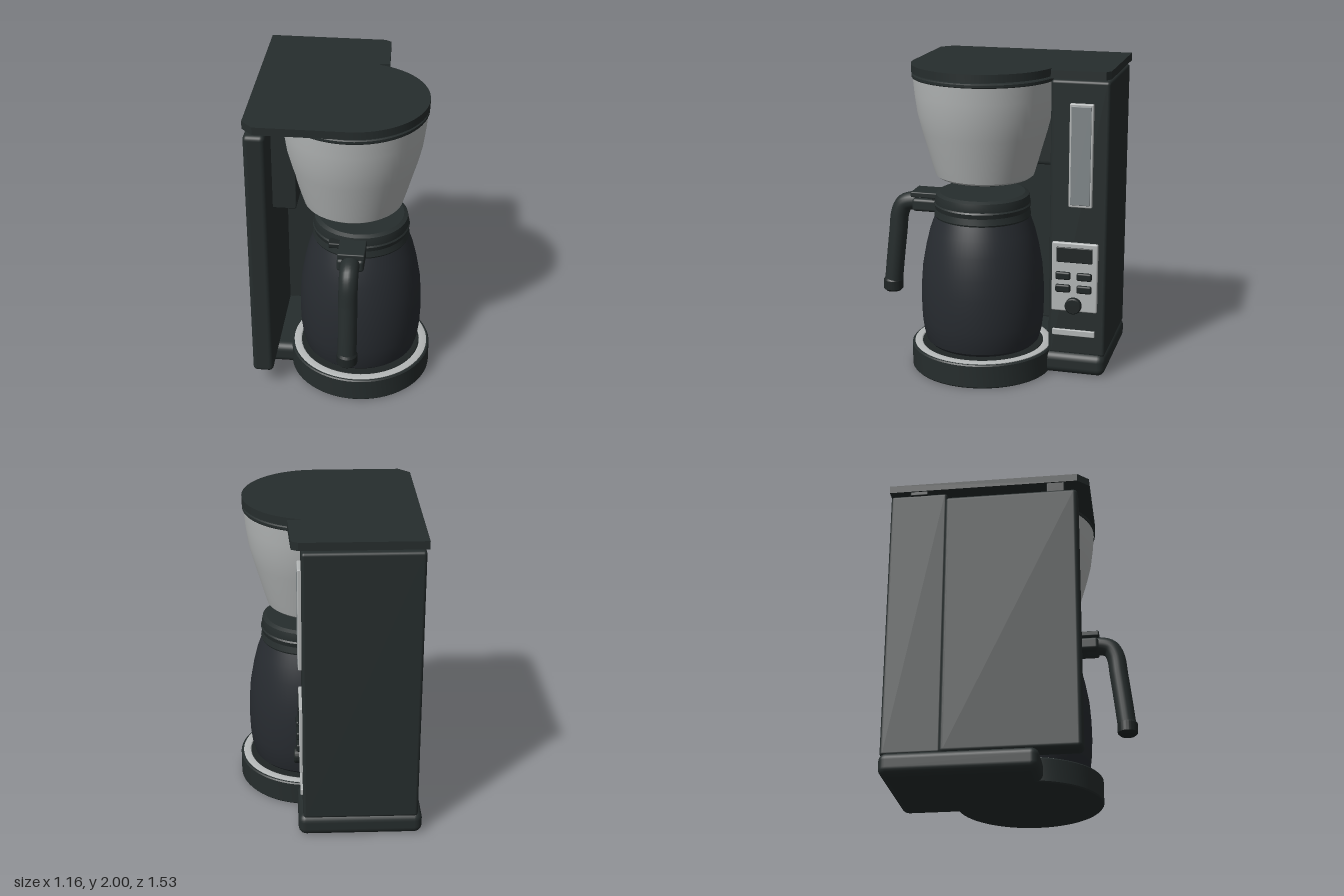
import * as THREE from 'three';
import { RoundedBoxGeometry } from 'three/addons/geometries/RoundedBoxGeometry.js';
import { toCreasedNormals } from 'three/addons/utils/BufferGeometryUtils.js';

const mat = (color, side = THREE.FrontSide) => new THREE.MeshStandardMaterial({ color, side });
const DARK = mat(0x262d2d);
const BLACK = mat(0x1f2525);
const GLASS = mat(0x272b30);
const SILVER = mat(0xb4b7b7);
const PANE = mat(0x808789);

export function createModel() {
  const root = new THREE.Group();
  root.name = 'coffeeMaker';

  function add(name, geometry, material, parent = root) {
    const mesh = new THREE.Mesh(geometry, material);
    mesh.name = name;
    parent.add(mesh);
    return mesh;
  }
  // Rounded block given by its limits on each axis
  function block(name, [x0, x1], [y0, y1], [z0, z1], r, material, parent) {
    const g = new RoundedBoxGeometry(x1 - x0, y1 - y0, z1 - z0, 3, r);
    g.translate((x0 + x1) / 2, (y0 + y1) / 2, (z0 + z1) / 2);
    return add(name, g, material, parent);
  }
  // Turned part about a vertical axis, profile as [radius, y]
  function turned(name, profile, x, z, material, parent) {
    const g = new THREE.LatheGeometry(profile.map(p => new THREE.Vector2(...p)), 64);
    g.translate(x, 0, z);
    return add(name, toCreasedNormals(g, 0.45), material, parent);
  }

  // Base: rear block, round warming stand and hot plate
  const CX = 0.11, CZ = 0.07;
  block('baseBlock', [-0.585, 0.2], [0, 0.145], [-0.762, 0.2], 0.05, DARK);
  turned('warmingStand', [[0, 0], [0.46, 0], [0.467, 0.008], [0.467, 0.15], [0.46, 0.158], [0, 0.158]], CX, CZ, DARK);
  turned('standRing', [[0.4, 0.15], [0.45, 0.15], [0.45, 0.162], [0.44, 0.166], [0.405, 0.166], [0.4, 0.162], [0.4, 0.15]], CX, CZ, SILVER);
  turned('hotPlate', [[0.4, 0.15], [0.395, 0.162], [0, 0.162]], CX, CZ, BLACK);

  // Rear water tower, side wall and funnel bracket
  block('waterTower', [-0.555, 0.17], [0.13, 1.93], [-0.757, -0.385], 0.02, DARK);
  block('sideWall', [-0.57, -0.435], [0.125, 1.895], [-0.4, 0.46], 0.03, DARK);
  const bracketShape = new THREE.Shape();
  bracketShape.moveTo(-0.45, 1.28);
  bracketShape.lineTo(-0.3, 1.28);
  bracketShape.quadraticCurveTo(-0.29, 1.28, -0.29, 1.3);
  bracketShape.lineTo(-0.29, 1.6);
  bracketShape.quadraticCurveTo(-0.29, 1.75, -0.335, 1.865);
  bracketShape.lineTo(-0.45, 1.865);
  const bracket = new THREE.ExtrudeGeometry(bracketShape, { depth: 0.62, bevelThickness: 0.01, bevelSize: 0.006, bevelSegments: 2 });
  bracket.translate(0, 0, -0.39);
  add('funnelBracket', bracket, DARK);

  // Flat lid with a round front right part, drawn as x and -z
  const FX = 0.06, FZ = 0.067;
  const lidShape = new THREE.Shape();
  lidShape.moveTo(-0.567, 0.765);
  lidShape.lineTo(-0.567, -0.46);
  lidShape.lineTo(-0.495, -0.532);
  lidShape.lineTo(FX, -0.532);
  lidShape.absarc(FX, -FZ, 0.465, -Math.PI / 2, Math.PI * 0.43, false);
  lidShape.lineTo(0.245, 0.4);
  lidShape.lineTo(0.228, 0.74);
  lidShape.lineTo(0.185, 0.765);
  const lid = new THREE.ExtrudeGeometry(lidShape, { depth: 0.05, bevelEnabled: false, curveSegments: 48 });
  lid.rotateX(-Math.PI / 2);
  lid.translate(0, 1.95, 0);
  add('topLid', lid, DARK);
  for (const [z, y] of [[-0.57, 1.92], [0.32, 1.88]]) {
    block('lidSupport', [-0.56, -0.5], [y, 1.955], [z - 0.06, z + 0.06], 0.01, BLACK);
  }

  // Filter funnel
  turned('filterFunnel', [[0, 1.272], [0.3, 1.272], [0.317, 1.285], [0.34, 1.36], [0.365, 1.45], [0.4, 1.57],
    [0.43, 1.69], [0.446, 1.81], [0.456, 1.92], [0, 1.92]], FX, FZ, SILVER);
  turned('funnelRim', [[0, 1.915], [0.46, 1.915], [0.463, 1.92], [0.463, 1.935], [0.455, 1.941], [0, 1.941]], FX, FZ, DARK);
  turned('funnelFloor', [[0, 1.268], [0.29, 1.268], [0.29, 1.275]], FX, FZ, BLACK);
  turned('dripValve', [[0, 1.235], [0.085, 1.235], [0.12, 1.255], [0.12, 1.275]], FX, FZ, BLACK);

  // Carafe
  const carafe = new THREE.Group();
  carafe.name = 'carafe';
  root.add(carafe);
  turned('carafeBody', [[0, 0.168], [0.35, 0.17], [0.37, 0.19], [0.387, 0.25], [0.398, 0.34], [0.402, 0.45], [0.4, 0.56],
    [0.39, 0.69], [0.365, 0.83], [0.34, 0.93], [0.308, 1.02], [0, 1.02]], CX, CZ, GLASS, carafe);
  turned('carafeCollar', [[0.28, 1.01], [0.305, 1.012], [0.313, 1.03], [0.305, 1.07], [0.313, 1.1], [0.305, 1.112], [0, 1.112]], CX, CZ, DARK, carafe);
  turned('carafeLid', [[0, 1.1], [0.305, 1.1], [0.308, 1.12], [0.3, 1.165], [0.275, 1.178], [0, 1.18]], CX, CZ, DARK, carafe);

  // Handle: straight arm, bent grip, end cap and thumb lever
  const HX = 0.083;
  block('handleArm', [HX - 0.085, HX + 0.085], [1.02, 1.105], [0.3, 0.535], 0.02, DARK, carafe);
  const gripPath = new THREE.CatmullRomCurve3([[1.072, 0.46], [1.072, 0.55], [1.05, 0.61], [0.99, 0.642], [0.85, 0.66], [0.68, 0.68], [0.48, 0.701]]
    .map(([y, z]) => new THREE.Vector3(HX, y, z)));
  add('handleGrip', new THREE.TubeGeometry(gripPath, 48, 0.06, 20), DARK, carafe);
  const cap = turned('handleCap', [[0, 0], [0.05, 0], [0.065, 0.015], [0.065, 0.075], [0.055, 0.092], [0, 0.092]], 0, 0, BLACK, carafe);
  cap.position.set(HX, 0.437, 0.702);
  block('thumbLever', [HX - 0.08, HX + 0.09], [1.115, 1.152], [0.36, 0.54], 0.008, DARK, carafe);
  block('leverPivot', [HX - 0.15, HX + 0.08], [1.1, 1.135], [0.33, 0.4], 0.008, BLACK, carafe);

  // Water gauge on the right side of the tower
  block('gaugeFrame', [0.15, 0.193], [1.13, 1.79], [-0.66, -0.51], 0.008, SILVER);
  block('gaugePane', [0.15, 0.196], [1.145, 1.775], [-0.648, -0.522], 0.005, PANE);

  // Control panel
  const panel = new THREE.Group();
  panel.name = 'controlPanel';
  root.add(panel);
  block('panelPlate', [0.15, 0.19], [0.435, 0.895], [-0.705, -0.408], 0.01, SILVER, panel);
  block('display', [0.16, 0.196], [0.765, 0.865], [-0.672, -0.438], 0.006, BLACK, panel);
  for (const y of [0.565, 0.65]) {
    for (const z of [-0.67, -0.532]) {
      block('button', [0.16, 0.208], [y, y + 0.052], [z, z + 0.097], 0.012, BLACK, panel);
    }
  }
  const knob = turned('knob', [[0.053, 0], [0.053, 0.035], [0.046, 0.043], [0, 0.043]], 0, 0, BLACK, panel);
  knob.rotation.z = -Math.PI / 2;
  knob.position.set(0.18, 0.48, -0.555);
  block('trimStrip', [0.15, 0.185], [0.265, 0.306], [-0.692, -0.415], 0.005, SILVER);

  return root;
}
